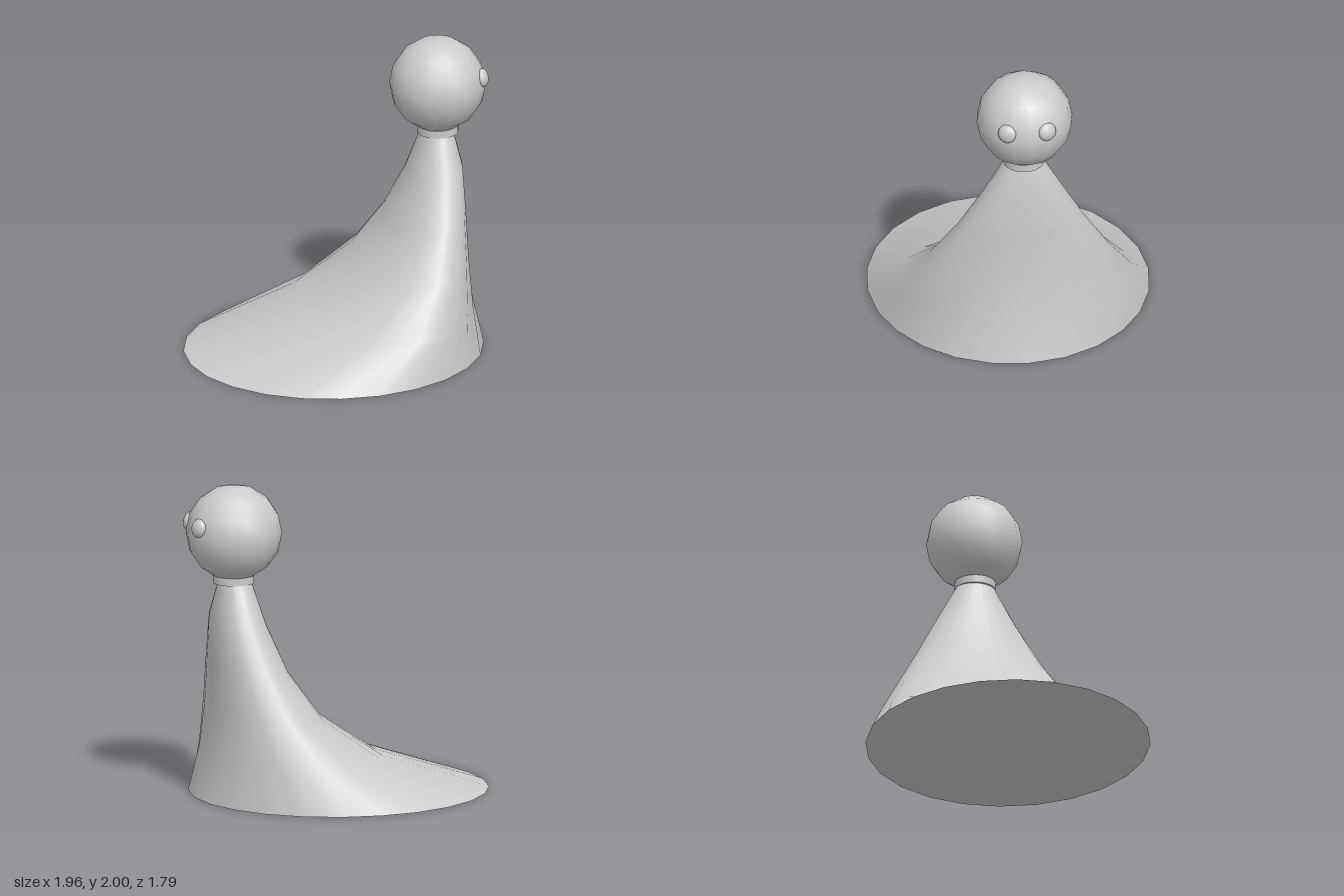
import * as THREE from 'three';

const SIDES = 24;

// Leaning cloak lofted through slightly tilted elliptical rings:
// [x on the trailing side, its y, x on the upright side, its y, half depth]
const RINGS = [
  [-0.98, 0, 0.93, 0, 0.895],
  [-0.27, 0.235, 0.855, 0.3, 0.74],
  [0.13, 0.51, 0.825, 0.6, 0.575],
  [0.34, 0.8, 0.82, 0.89, 0.41],
  [0.47, 1.1, 0.815, 1.17, 0.255],
  [0.56, 1.38, 0.765, 1.38, 0.12],
];

function loftBody() {
  const positions = [], index = [];
  RINGS.forEach(([xl, yl, xr, yr, rz], j) => {
    for (let i = 0; i < SIDES; i++) {
      const a = (i / SIDES) * Math.PI * 2;
      const t = (1 + Math.cos(a)) / 2;
      positions.push(xl + (xr - xl) * t, yl + (yr - yl) * t, rz * Math.sin(a));
      if (j === RINGS.length - 1) continue;
      const p = j * SIDES + i, q = j * SIDES + ((i + 1) % SIDES);
      index.push(p, p + SIDES, q, q, p + SIDES, q + SIDES);
    }
  });
  const geometry = new THREE.BufferGeometry();
  geometry.setAttribute('position', new THREE.Float32BufferAttribute(positions, 3));
  geometry.setIndex(index);
  geometry.computeVertexNormals();
  return geometry;
}

export function createModel() {
  const group = new THREE.Group();
  const material = new THREE.MeshStandardMaterial({ color: 0xcccccc });
  const add = (name, geometry, x = 0, y = 0, z = 0) => {
    const mesh = new THREE.Mesh(geometry, material);
    mesh.name = name;
    mesh.position.set(x, y, z);
    group.add(mesh);
    return mesh;
  };

  add('body', loftBody());

  // Flat underside
  const [xl, , xr, , rz] = RINGS[0];
  const base = new THREE.CircleGeometry(1, SIDES).rotateX(Math.PI / 2);
  base.scale((xr - xl) / 2, 1, rz);
  add('base', base, (xl + xr) / 2);

  add('collar', new THREE.CylinderGeometry(0.13, 0.13, 0.05, SIDES), 0.67, 1.395, 0);

  const head = add('head', new THREE.SphereGeometry(0.305, 16, 8), 0.67, 1.695, -0.005);

  // Flattened eyes lying on the head, facing outward
  for (const [name, x, y, z] of [['leftEye', 0.92, 1.755, 0.142], ['rightEye', 0.935, 1.757, -0.112]]) {
    const eye = add(name, new THREE.SphereGeometry(0.06, 16, 12), x, y, z);
    eye.scale.z = 0.6;
    eye.lookAt(eye.position.clone().multiplyScalar(2).sub(head.position));
  }

  return group;
}
